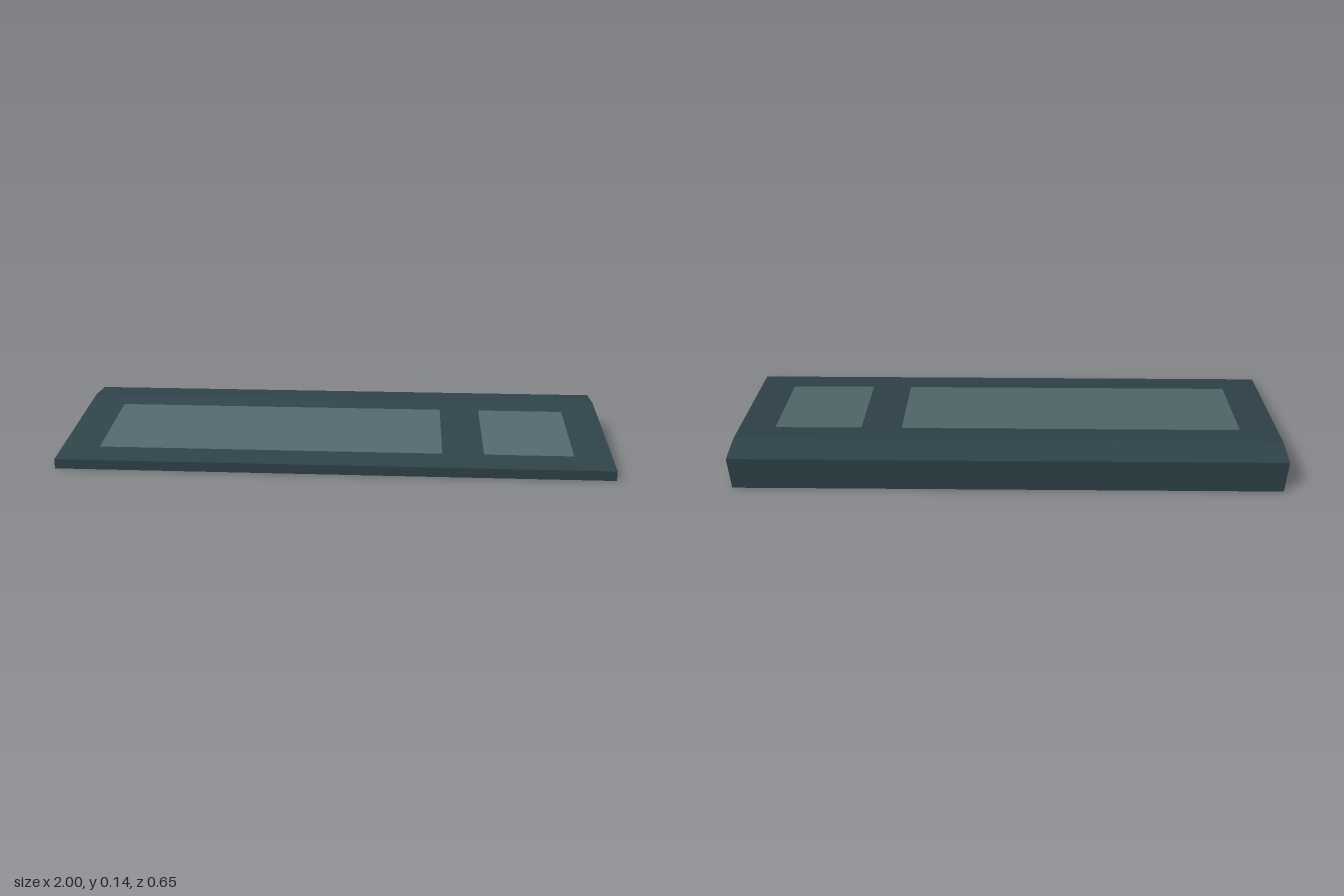
import * as THREE from 'three';

export function createModel() {
  const group = new THREE.Group();
  const bodyMat = new THREE.MeshStandardMaterial({ color: 0x2f444a });
  bodyMat.name = 'dark slate';
  const panelMat = new THREE.MeshStandardMaterial({ color: 0x536a6e });
  panelMat.name = 'light slate';

  // Side profile as (z, y): low front lip, sloped deck, flat rear strip
  const half = 0.327, lip = 0.035, top = 0.135, ridge = -0.208;
  const profile = new THREE.Shape([
    [-half, 0], [half, 0], [half, lip], [ridge, top], [-half, top],
  ].map(([z, y]) => new THREE.Vector2(z, y)));

  // Wedge body, extruded across the full width
  const bodyGeo = new THREE.ExtrudeGeometry(profile, { depth: 2, bevelEnabled: false });
  bodyGeo.translate(0, 0, -1).rotateY(-Math.PI / 2);
  const body = new THREE.Mesh(bodyGeo, bodyMat);
  body.name = 'wedgeBody';
  group.add(body);

  // Thin plates lying on the sloped deck
  const slope = (top - lip) / (half - ridge);
  const angle = Math.atan(slope);
  const zBack = -0.12, zFront = 0.23, zMid = (zBack + zFront) / 2;
  const addPlate = (name, x0, x1) => {
    const length = (zFront - zBack) / Math.cos(angle);
    const plate = new THREE.Mesh(new THREE.BoxGeometry(x1 - x0, 0.004, length), panelMat);
    plate.position.set((x0 + x1) / 2, lip + (half - zMid) * slope, zMid);
    plate.rotation.x = angle;
    plate.name = name;
    group.add(plate);
  };
  addPlate('mainKeyPanel', -0.86, 0.395);
  addPlate('sideKeyPanel', 0.545, 0.865);

  return group;
}
